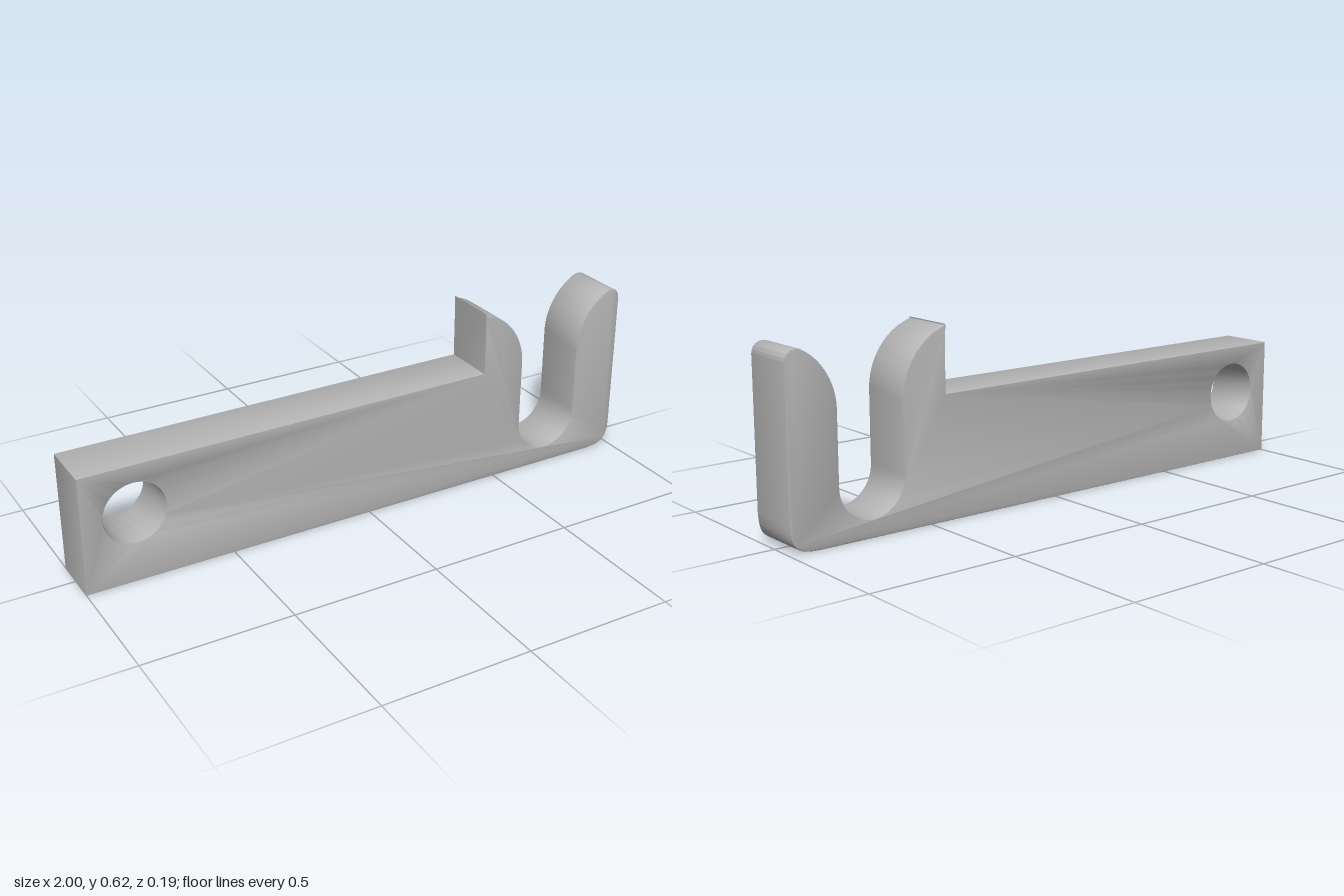
import * as THREE from 'three';
import { toCreasedNormals } from 'three/addons/utils/BufferGeometryUtils.js';

export function createModel() {
  const group = new THREE.Group();
  group.name = 'hookBracket';
  const grey = new THREE.MeshStandardMaterial({ color: 0xb4b4b4 });
  grey.name = 'grey';

  const depth = 0.188, bevel = 0.004;
  const lipRadius = 0.215, lipY = 0.41;

  // Side profile: flat bar, two rounded prongs and the U-shaped slot between them
  const profile = new THREE.Shape();
  profile.moveTo(-1, 0);
  profile.lineTo(-1, 0.405);
  profile.lineTo(0.443, 0.405);
  profile.lineTo(0.443, 0.621);
  profile.absarc(0.385, lipY, lipRadius, Math.acos(0.058 / lipRadius), 0, true);
  profile.lineTo(0.6, 0.175);
  profile.absarc(0.715, 0.175, 0.115, Math.PI, Math.PI * 2, false);
  profile.lineTo(0.83, lipY);
  profile.absarc(1.045, lipY, lipRadius, Math.PI, Math.acos(-0.1 / lipRadius), true);
  profile.bezierCurveTo(0.968, 0.611, 1, 0.6, 1, 0.565);
  profile.lineTo(1, 0.09);
  profile.bezierCurveTo(0.997, 0.025, 0.985, 0.003, 0.9, 0);
  profile.closePath();

  // Mounting hole
  const hole = new THREE.Path();
  hole.absarc(-0.825, 0.241, 0.103, 0, Math.PI * 2, false);
  profile.holes.push(hole);

  const geometry = new THREE.ExtrudeGeometry(profile, {
    depth: depth - 2 * bevel,
    curveSegments: 28,
    bevelEnabled: true,
    bevelThickness: bevel,
    bevelSize: bevel,
    bevelOffset: -bevel,
    bevelSegments: 2,
  });
  geometry.translate(0, 0, bevel - depth / 2);

  const bracket = new THREE.Mesh(toCreasedNormals(geometry, Math.PI / 6), grey);
  bracket.name = 'bracketBody';
  group.add(bracket);
  return group;
}
